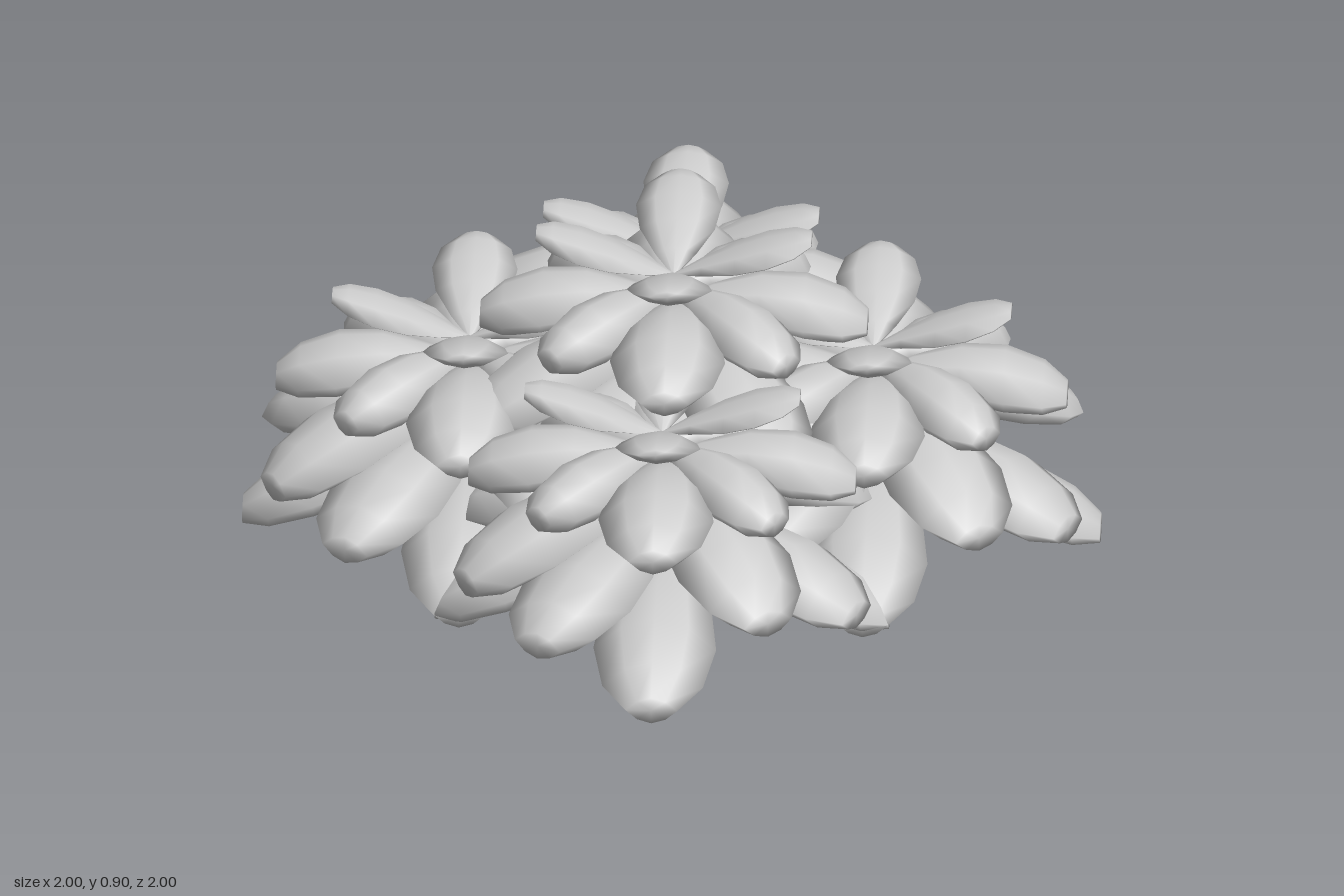
import * as THREE from 'three';

const material = new THREE.MeshStandardMaterial({ color: 0xcccccc });

// Stations along a petal and its relative width at each
const STATIONS = [0, 0.2, 0.45, 0.68, 0.88, 1];
const WIDTHS = [0.06, 0.48, 0.88, 1, 0.82, 0.42];
// Points around a cross-section: [across, top (+1) or underside (-1)]
const RING = [[-1, 1], [-0.55, 1], [0, 1], [0.55, 1], [1, 1], [0.55, -1], [0, -1], [-0.55, -1]];

// A plump, lens-shaped, blunt-tipped petal growing along +z from the rosette axis
function petalGeometry({ length, width, thick, rootY, tipY, arch }) {
  const pos = [], index = [], n = RING.length;
  const centreY = (t) => rootY + (tipY - rootY) * t + arch * 4 * t * (1 - t);
  STATIONS.forEach((t, s) => {
    const w = WIDTHS[s];
    for (const [u, side] of RING) {
      const bulge = (1 - u * u) * thick * w * side * 0.5;
      pos.push((u * w * width) / 2, centreY(t) + bulge, t * length);
    }
  });
  for (let s = 0; s < STATIONS.length - 1; s++) {
    for (let i = 0; i < n; i++) {
      const j = (i + 1) % n, a = s * n + i, b = s * n + j;
      index.push(a, a + n, b, b, a + n, b + n);
    }
  }
  // Root and tip caps
  const root = pos.length / 3, last = (STATIONS.length - 1) * n;
  pos.push(0, centreY(0), 0, 0, centreY(1), length);
  for (let i = 0; i < n; i++) {
    const j = (i + 1) % n;
    index.push(root, i, j, root + 1, last + j, last + i);
  }
  const g = new THREE.BufferGeometry();
  g.setAttribute('position', new THREE.Float32BufferAttribute(pos, 3));
  g.setIndex(index);
  g.computeVertexNormals();
  return g;
}

// Tiers of four petals each, from the top down; turn in degrees from the front
const TIERS = [
  { name: 'topPetal', turn: 45, length: 0.37, width: 0.23, thick: 0.08, rootY: -0.01, tipY: 0.105, arch: 0 },
  { name: 'upperPetal', turn: 0, length: 0.45, width: 0.24, thick: 0.17, rootY: -0.05, tipY: -0.12, arch: 0.01 },
  { name: 'shoulderPetal', turn: 45, length: 0.52, width: 0.31, thick: 0.17, rootY: -0.09, tipY: -0.14, arch: 0.03 },
  { name: 'middlePetal', turn: -14, length: 0.6, width: 0.34, thick: 0.18, rootY: -0.14, tipY: -0.32, arch: 0.03 },
  { name: 'lowerPetal', turn: 15, length: 0.62, width: 0.34, thick: 0.18, rootY: -0.24, tipY: -0.39, arch: 0.02 },
  { name: 'basePetal', turn: 45, length: 0.61, width: 0.33, thick: 0.18, rootY: -0.32, tipY: -0.54, arch: 0.02 },
].map((tier) => ({ ...tier, geometry: petalGeometry(tier) }));

function rosette(name, x, y, z) {
  const group = new THREE.Group();
  group.name = name;
  group.position.set(x, y, z);
  for (const tier of TIERS) {
    for (let k = 0; k < 4; k++) {
      const petal = new THREE.Mesh(tier.geometry, material);
      petal.name = tier.name;
      petal.rotation.y = THREE.MathUtils.degToRad(tier.turn + k * 90);
      group.add(petal);
    }
  }
  return group;
}

export function createModel() {
  const model = new THREE.Group();
  model.name = 'succulentCluster';
  model.add(rosette('centreRosette', 0, 0.79, 0));
  for (const x of [-0.385, 0.385]) {
    for (const z of [-0.375, 0.39]) {
      model.add(rosette('cornerRosette', x, 0.59, z));
    }
  }
  return model;
}
